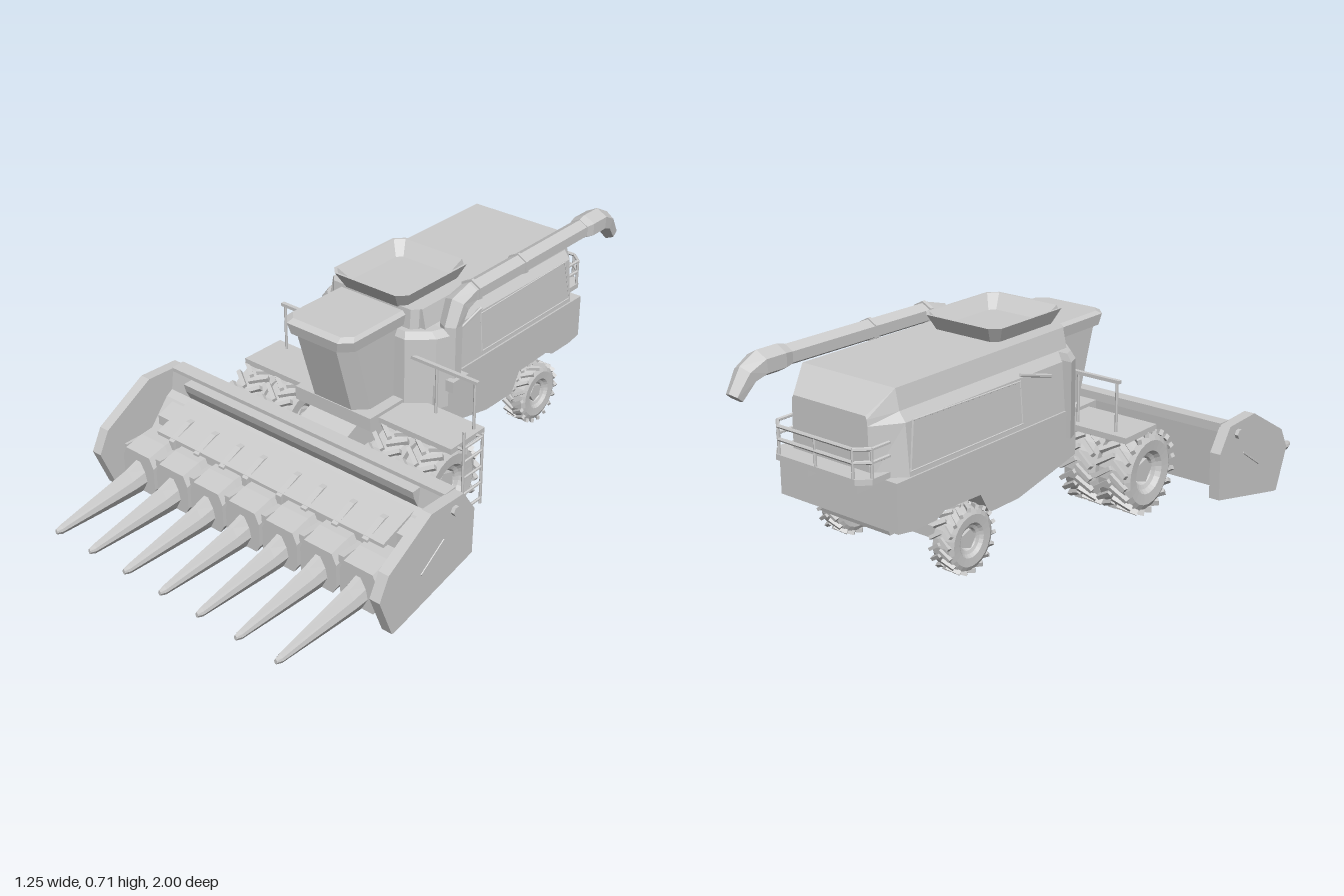
import * as THREE from 'three';
import { mergeGeometries } from 'three/addons/utils/BufferGeometryUtils.js';

const mat = new THREE.MeshStandardMaterial({ color: 0xcccccc, flatShading: true, side: THREE.DoubleSide });

export function createModel() {
  const root = new THREE.Group();
  const add = (name, geo, parent = root) => {
    const m = new THREE.Mesh(geo, mat);
    m.name = name;
    parent.add(m);
    return m;
  };
  const V = (p) => new THREE.Vector3(...p);
  // box given by its x, y and z ranges
  const box = (x0, x1, y0, y1, z0, z1) =>
    new THREE.BoxGeometry(x1 - x0, y1 - y0, z1 - z0).translate((x0 + x1) / 2, (y0 + y1) / 2, (z0 + z1) / 2);
  // (z, y) profile extruded across x
  const prism = (pts, x0, x1) =>
    new THREE.ExtrudeGeometry(new THREE.Shape(pts.map((p) => new THREE.Vector2(...p))), { depth: x1 - x0, bevelEnabled: false })
      .rotateY(-Math.PI / 2).translate(x1, 0, 0);
  // thin bar between two points
  const bar = (a, b, r = 0.005) => {
    const d = V(b).sub(V(a));
    const q = new THREE.Quaternion().setFromUnitVectors(new THREE.Vector3(0, 1, 0), d.clone().normalize());
    const mid = V(a).addScaledVector(d, 0.5);
    return new THREE.CylinderGeometry(r, r, d.length(), 6).applyQuaternion(q).translate(mid.x, mid.y, mid.z);
  };
  const bars = (pts, r) => pts.slice(1).map((p, i) => bar(pts[i], p, r));
  // capped skin over equal-sized rings, turned outward by its signed volume
  const loft = (rings) => {
    const n = rings[0].length, tris = [];
    for (let k = 0; k + 1 < rings.length; k++)
      for (let i = 0; i < n; i++) {
        const j = (i + 1) % n, A = rings[k], B = rings[k + 1];
        tris.push([A[i], A[j], B[j]], [A[i], B[j], B[i]]);
      }
    const F = rings[0], L = rings[rings.length - 1];
    for (let i = 1; i + 1 < n; i++) tris.push([F[0], F[i + 1], F[i]], [L[0], L[i], L[i + 1]]);
    const vol = tris.reduce((s, [a, b, c]) => s + V(a).dot(V(b).cross(V(c))), 0);
    if (vol < 0) tris.forEach((t) => t.reverse());
    const g = new THREE.BufferGeometry();
    g.setAttribute('position', new THREE.Float32BufferAttribute(tris.flat(2), 3));
    g.computeVertexNormals();
    return g;
  };
  // chamfered rectangle in plan at height y; cf and cb are front and back corner cuts
  const plan = (y, x0, x1, z0, z1, cf, cb = cf) => [
    [x0 + cf, y, z1], [x1 - cf, y, z1], [x1, y, z1 - cf], [x1, y, z0 + cb],
    [x1 - cb, y, z0], [x0 + cb, y, z0], [x0, y, z0 + cb], [x0, y, z1 - cf]];
  // mirrored half section [x, y] placed at z
  const section = (z, half, cx = 0) => [
    ...half.map(([x, y]) => [cx + x, y, z]), ...half.slice().reverse().map(([x, y]) => [cx - x, y, z])];

  // body: lower hull with wheel arch, upper hull tapering at the rear, belly
  add('lowerBody', prism([[0.01, 0.24], [-0.28, 0.18], [-0.42, 0.18], [-0.46, 0.25], [-0.62, 0.255], [-0.66, 0.235],
    [-0.76, 0.235], [-0.82, 0.245], [-0.82, 0.4], [0.01, 0.4]], -0.24, 0.24));
  const hull = [[0.235, 0.39], [0.222, 0.56], [0.2, 0.59], [0.186, 0.655]];
  add('upperBody', loft([section(0.01, hull), section(-0.76, hull),
    section(-0.84, [[0.155, 0.39], [0.152, 0.555], [0.15, 0.575], [0.145, 0.585]])]));
  add('belly', prism([[0.05, 0.25], [0.01, 0.155], [-0.42, 0.155], [-0.46, 0.26]], -0.15, 0.15));
  add('rearBelly', prism([[-0.58, 0.26], [-0.64, 0.19], [-0.75, 0.19], [-0.77, 0.26]], -0.14, 0.14));
  add('sump', box(-0.12, 0.12, 0.13, 0.17, -0.33, -0.19));
  for (const s of [-1, 1]) {
    const x = s * 0.233;
    add('sidePanelFrame', mergeGeometries(bars([[x, 0.415, -0.25], [s * 0.223, 0.55, -0.25],
      [s * 0.223, 0.56, -0.73], [x, 0.415, -0.755], [x, 0.415, -0.25]], 0.003)));
    add('sidePanelBrace', bar([s * 0.224, 0.53, -0.1], [s * 0.222, 0.57, -0.25], 0.006));
    // cabinet beside the cab with its outer front corner cut away
    const foot = (y, k) => [[0.12, 0.07], [0.165, 0.07], [0.24, 0.005], [0.258, -0.04], [0.12, -0.04]]
      .map(([a, z]) => [s * (0.12 + (a - 0.12) * k), y, z * k]);
    add('frontCabinet', loft([foot(0.31, 1), foot(0.565, 1), foot(0.588, 0.84)]));
  }

  // grain tank with flared rim and sunken floor
  add('tankBase', loft([plan(0.58, -0.18, 0.18, -0.27, 0.04, 0.02), plan(0.655, -0.18, 0.18, -0.27, 0.035, 0.02)]));
  add('grainTank', loft([plan(0.64, -0.125, 0.125, -0.25, 0.03, 0.02), plan(0.705, -0.155, 0.155, -0.285, 0.07, 0.03),
    plan(0.705, -0.147, 0.147, -0.277, 0.062, 0.028), plan(0.66, -0.115, 0.115, -0.24, 0.02, 0.018)]));

  // cab
  add('cab', loft([plan(0.325, -0.12, 0.12, 0.02, 0.22, 0.042, 0.01), plan(0.6, -0.126, 0.126, 0.02, 0.3, 0.045, 0.01)]));
  add('cabRoof', loft([plan(0.595, -0.135, 0.135, 0.02, 0.31, 0.04, 0.01), plan(0.632, -0.14, 0.14, 0.02, 0.317, 0.035, 0.01),
    plan(0.643, -0.128, 0.128, 0.02, 0.295, 0.03, 0.01)]));

  // access deck, hand rails and ladder
  add('deck', box(-0.43, 0.45, 0.315, 0.335, 0.02, 0.19));
  add('deckSkirt', box(-0.16, 0.16, 0.3, 0.347, 0.02, 0.23));
  for (const s of [-1, 1]) {
    const [xa, xb] = s > 0 ? [0.28, 0.43] : [-0.22, -0.37], end = xb + s * 0.012;
    add('handRail', mergeGeometries([bar([xa, 0.33, 0.05], [xa, 0.503, 0.05]), bar([xb, 0.33, 0.05], [xb, 0.503, 0.05]),
      box(Math.min(s * 0.11, end), Math.max(s * 0.11, end), 0.497, 0.508, 0.043, 0.057)]));
  }
  add('ladder', mergeGeometries([bar([0.472, 0.08, 0.155], [0.472, 0.39, 0.155]), bar([0.472, 0.08, 0.06], [0.472, 0.34, 0.06]),
    ...[0.1, 0.16, 0.22, 0.28, 0.33].map((y) => bar([0.472, y, 0.155], [0.472, y, 0.06])),
    bar([0.472, 0.325, 0.155], [0.44, 0.325, 0.155]), bar([0.472, 0.325, 0.06], [0.44, 0.325, 0.06])]));

  // unloading auger: six-sided tube swept in the z-y plane at the left side
  const hexRing = ([z, y, r, deg]) => {
    const a = THREE.MathUtils.degToRad(deg);
    return Array.from({ length: 6 }, (_, i) => {
      const t = (i * Math.PI) / 3, u = r * Math.cos(t);
      return [0.238 + r * Math.sin(t) * 1.1, y - u * Math.cos(a), z + u * Math.sin(a)];
    });
  };
  const tube = (pts) => loft(pts.map(hexRing));
  add('unloadingAuger', tube([[-0.072, 0.38, 0.034, 90], [-0.072, 0.59, 0.034, 90], [-0.1, 0.65, 0.038, 135],
    [-0.16, 0.667, 0.034, 180], [-0.79, 0.672, 0.034, 180]]));
  add('augerSpout', tube([[-0.78, 0.672, 0.036, 180], [-0.81, 0.672, 0.043, 180], [-0.885, 0.672, 0.043, 185],
    [-0.935, 0.65, 0.036, 212], [-0.98, 0.592, 0.026, 230]]));
  for (const z of [-0.17, -0.42]) add('augerCollar', tube([[z, 0.669, 0.039, 180], [z - 0.012, 0.669, 0.039, 180]]));
  add('augerFoot', box(0.2, 0.285, 0.37, 0.41, -0.11, -0.03));

  // rear platform with wrap-around rail
  const walk = [[0.19, -0.775], [0.19, -0.865], [0.15, -0.9], [-0.15, -0.9], [-0.19, -0.865], [-0.19, -0.775]];
  add('rearPlatform', loft([0.4, 0.418].map((y) => plan(y, -0.195, 0.195, -0.905, -0.76, 0.01, 0.035))));
  add('rearRail', mergeGeometries([...[0.505, 0.465].flatMap((y) => bars(walk.map(([x, z]) => [x, y, z]), 0.006)),
    ...[...walk, [0, -0.9]].map(([x, z]) => bar([x, 0.41, z], [x, 0.505, z]))]));
  for (const s of [-1, 1]) add('rearLampBlock', box(s * 0.1 - 0.045, s * 0.1 + 0.045, 0.365, 0.402, -0.88, -0.81));

  // wheels: lathe tyre, dished rim, five-sided hub, chevron lugs
  const wheelGeo = (R, w, n) => {
    const c = R * 0.93, h = w / 2;
    const prof = [[0, -0.2], [0.3, -0.2], [0.36, -0.6], [0.46, -0.7], [0.55, -0.95], [0.82, -1], [0.97, -0.82], [1, 0]];
    const full = [...prof, ...prof.slice(0, -1).reverse().map(([r, x]) => [r, -x])];
    const parts = [new THREE.LatheGeometry(full.map(([r, x]) => new THREE.Vector2(r * c, x * h)), 24).rotateZ(Math.PI / 2),
      new THREE.CylinderGeometry(R * 0.3, R * 0.3, w * 0.62, 5).rotateZ(Math.PI / 2)];
    for (let i = 0; i < n; i++)
      for (const s of [-1, 1])
        parts.push(new THREE.BoxGeometry(w * 0.58, R * 0.13, R * 0.1).rotateY(s * 0.6)
          .translate(s * w * 0.25, R * 0.94, 0).rotateX(((i + (s > 0 ? 0.5 : 0)) / n) * Math.PI * 2));
    return mergeGeometries(parts);
  };
  const frontGeo = wheelGeo(0.143, 0.122, 20), rearGeo = wheelGeo(0.108, 0.078, 18);
  for (const s of [-1, 1]) {
    for (const x of [0.232, 0.37]) add('frontWheel', frontGeo).position.set(s * x, 0.177, 0.158);
    add('rearWheel', rearGeo).position.set(s * 0.235, 0.138, -0.54);
  }
  add('frontAxle', bar([-0.4, 0.177, 0.158], [0.4, 0.177, 0.158], 0.03));
  add('rearAxle', box(-0.22, 0.22, 0.115, 0.155, -0.565, -0.515));
  add('rearAxleMount', box(-0.06, 0.06, 0.14, 0.27, -0.58, -0.5));
  add('feederHouse', prism([[0.305, 0.12], [0.305, 0.26], [0.2, 0.31], [0, 0.32], [0, 0.16]], -0.1, 0.1));
  add('feederCoupling', box(-0.035, 0.035, 0.14, 0.25, 0.29, 0.36));

  // corn head: upright back wall, sloped floor, stepped tray and ridge bar
  const head = new THREE.Group();
  head.name = 'cornHead';
  root.add(head);
  add('headFrame', prism([[0.335, 0.3], [0.35, 0.1], [0.6, 0.025], [0.62, 0.03], [0.61, 0.08], [0.5, 0.14], [0.42, 0.235],
    [0.395, 0.25], [0.385, 0.315], [0.385, 0.328], [0.335, 0.33]], -0.58, 0.58), head);
  add('wideTray', prism([[0.4, 0.238], [0.49, 0.205], [0.49, 0.17], [0.4, 0.17]], -0.545, 0.545), head);
  add('tray', prism([[0.4, 0.245], [0.55, 0.195], [0.55, 0.165], [0.42, 0.12]], -0.485, 0.485), head);
  add('ridgeBar', prism([[0.37, 0.315], [0.42, 0.313], [0.412, 0.283], [0.395, 0.25], [0.37, 0.25]], -0.488, 0.488), head);
  for (const s of [-1, 1]) {
    add('endPlate', prism([[0.49, 0.33], [0.34, 0.325], [0.285, 0.245], [0.29, 0.085], [0.65, 0.003], [0.665, 0.003],
      [0.72, 0.145], [0.68, 0.22]], s * 0.596 - 0.019, s * 0.596 + 0.019), head);
    add('plateBolt', bar([s * 0.6, 0.29, 0.385], [s * 0.627, 0.29, 0.385], 0.016), head);
    add('plateRod', bar([s * 0.614, 0.21, 0.43], [s * 0.614, 0.14, 0.535], 0.004), head);
  }
  for (let i = -3; i <= 3; i++) {
    const cx = i * 0.158;
    const hood = (z, w, y0, y1) => section(z, [[w - 0.015, y0], [w, y0 + 0.025], [w, y1 - 0.035], [w - 0.017, y1]], cx);
    add('rowHood', loft([hood(0.53, 0.072, 0.045, 0.185), hood(0.58, 0.072, 0.035, 0.18), hood(0.65, 0.072, 0.022, 0.163)]), head);
    for (const s of [-1, 1]) {
      const x = cx + s * 0.074;
      add('hoodSideRail', box(x - 0.005, x + 0.005, 0.13, 0.16, 0.54, 0.635), head);
    }
    const nose = (z, w, y0, y1) => {
      const m = (y0 + y1) / 2, t = y1 - y0;
      return section(z, [[w * 0.35, y0], [w, m - t * 0.1], [w * 0.8, m + t * 0.2], [w * 0.25, y1]], cx);
    };
    add('snout', loft([nose(0.64, 0.037, 0.022, 0.136), nose(0.7, 0.033, 0.022, 0.115), nose(0.98, 0.012, 0.025, 0.056),
      nose(1, 0.006, 0.032, 0.05)]), head);
  }
  for (const x of [-0.41, -0.295, -0.18, -0.077, 0.07, 0.175, 0.3, 0.42])
    add('rowBracket', prism([[0.42, 0.2], [0.56, 0.15], [0.56, 0.19], [0.48, 0.225], [0.42, 0.225]], x - 0.011, x + 0.011), head);
  return root;
}
